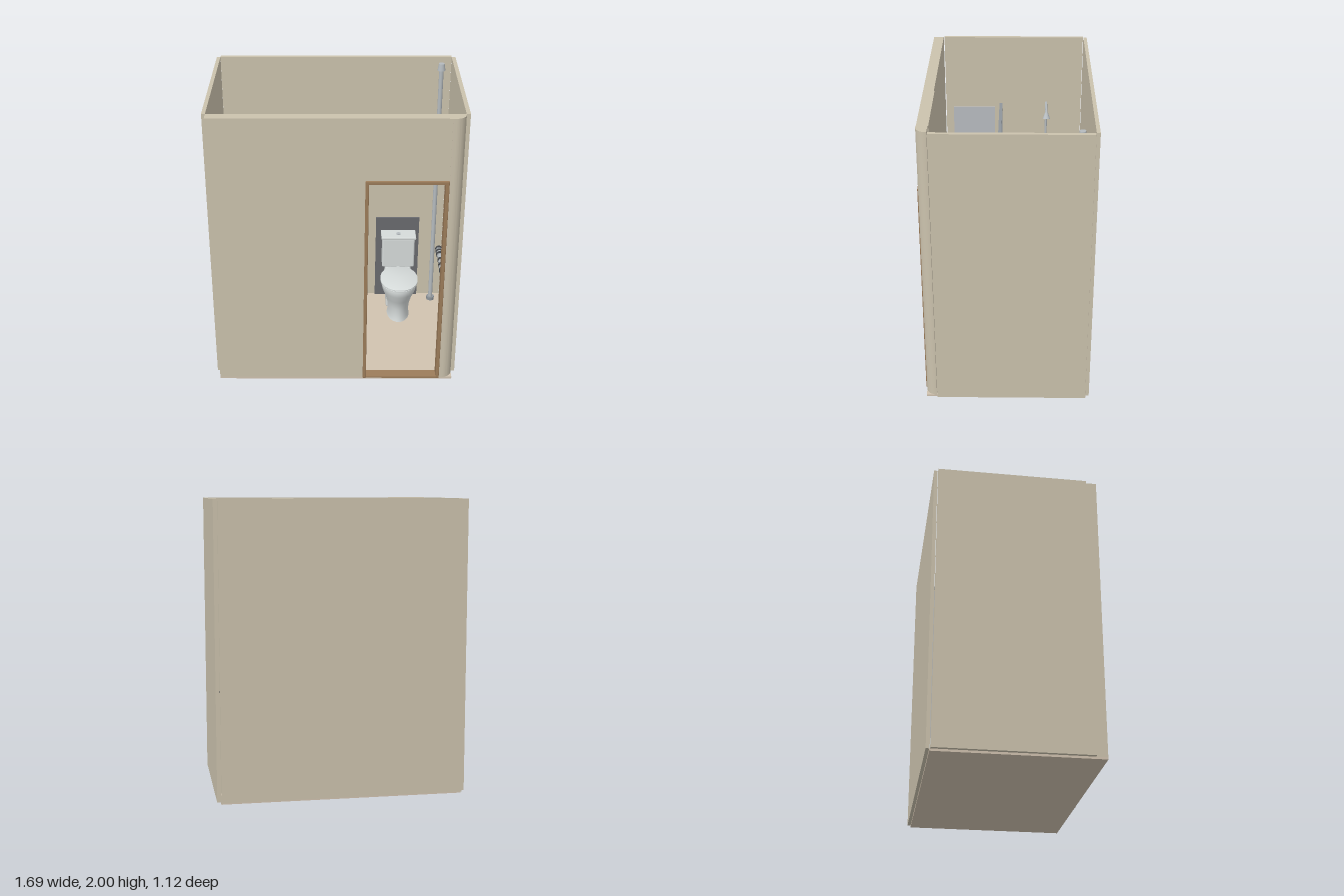
import * as THREE from 'three';
import { toCreasedNormals } from 'three/addons/utils/BufferGeometryUtils.js';
import { RoundedBoxGeometry } from 'three/addons/geometries/RoundedBoxGeometry.js';

const paint = (name, color) => {
  const m = new THREE.MeshStandardMaterial({ color });
  m.name = name;
  return m;
};

export function createModel() {
  const wallPaint = paint('warm beige wall', 0xcbc2ad);
  const floorTile = paint('floor tile', 0xd0c2af);
  const wood = paint('brown wood', 0x9c7c5a);
  const ceramic = paint('white ceramic', 0xd6dbda);
  const screenGrey = paint('screen grey', 0xb9bcc1);
  const frameGrey = paint('frame grey', 0x8e959b);
  const darkGrey = paint('dark grey panel', 0x696a6e);
  const chrome = paint('chrome', 0xb4babe);
  const dark = paint('dark trim', 0x45484c);

  const root = new THREE.Group();
  root.name = 'bathroom';
  const group = (name) => {
    const g = new THREE.Group();
    g.name = name;
    root.add(g);
    return g;
  };
  const add = (parent, name, geo, mat) => {
    const m = new THREE.Mesh(geo, mat);
    m.name = name;
    parent.add(m);
    return m;
  };
  // box given by its limits on each axis
  const box = (parent, name, mat, x0, x1, y0, y1, z0, z1, r = 0) => {
    const s = [x1 - x0, y1 - y0, z1 - z0];
    const geo = r ? new RoundedBoxGeometry(...s, 2, r) : new THREE.BoxGeometry(...s);
    const m = add(parent, name, geo, mat);
    m.position.set((x0 + x1) / 2, (y0 + y1) / 2, (z0 + z1) / 2);
    return m;
  };
  // round bar between two points
  const bar = (parent, name, mat, a, b, r0, r1 = r0) => {
    const p = new THREE.Vector3(...a), q = new THREE.Vector3(...b);
    const d = q.clone().sub(p);
    const m = add(parent, name, new THREE.CylinderGeometry(r1, r0, d.length(), 20), mat);
    m.position.copy(p).add(q).multiplyScalar(0.5);
    m.quaternion.setFromUnitVectors(new THREE.Vector3(0, 1, 0), d.normalize());
    return m;
  };
  // stacked superellipse sections: [y, centre x, centre z, radius x, radius z]
  const loft = (parent, name, mat, sections, power = 2, n = 40) => {
    const pos = [], idx = [];
    for (const [y, cx, cz, rx, rz] of sections) {
      for (let j = 0; j < n; j++) {
        const a = (j / n) * Math.PI * 2, c = Math.cos(a), s = Math.sin(a);
        pos.push(cx + rx * Math.sign(c) * Math.abs(c) ** (2 / power), y,
          cz + rz * Math.sign(s) * Math.abs(s) ** (2 / power));
      }
    }
    for (let i = 0; i < sections.length - 1; i++) {
      for (let j = 0; j < n; j++) {
        const a = i * n + j, b = i * n + (j + 1) % n;
        idx.push(a, a + n, b + n, a, b + n, b);
      }
    }
    const geo = new THREE.BufferGeometry();
    geo.setAttribute('position', new THREE.Float32BufferAttribute(pos, 3));
    geo.setIndex(idx);
    return add(parent, name, toCreasedNormals(geo, 0.8), mat);
  };
  // rounded rectangle path on the ground, z pointing down the sheet
  const roundedRect = (path, x0, x1, z0, z1, r) => {
    const c = [[x1 - r, -z0 - r, 0], [x0 + r, -z0 - r, 1], [x0 + r, -z1 + r, 2], [x1 - r, -z1 + r, 3]];
    for (const [x, y, k] of c) path.absarc(x, y, r, k * Math.PI / 2, (k + 1) * Math.PI / 2, false);
    path.closePath();
    return path;
  };
  const slab = (parent, name, mat, shape, y0, h) => {
    const geo = new THREE.ExtrudeGeometry(shape, { depth: h, bevelEnabled: false, curveSegments: 12 });
    geo.rotateX(-Math.PI / 2);
    const m = add(parent, name, toCreasedNormals(geo, 0.6), mat);
    m.position.y = y0;
    return m;
  };

  // floor and walls
  const shell = group('roomShell');
  box(shell, 'floor', floorTile, -0.82, 0.815, 0, 0.015, -0.54, 0.55);
  box(shell, 'rightSideWall', wallPaint, -0.845, -0.82, 0.015, 2, -0.535, 0.475);
  box(shell, 'leftSideWall', wallPaint, 0.815, 0.842, 0.015, 2, -0.535, 0.475);
  box(shell, 'backWall', wallPaint, -0.82, 0.815, 0.015, 2, -0.562, -0.538);
  box(shell, 'frontWall', wallPaint, -0.82, 0.19, 0.015, 2, 0.48, 0.55);
  box(shell, 'overDoorWall', wallPaint, 0.19, 0.725, 1.565, 2, 0.475, 0.55);

  // rounded corner post beside the door
  const post = new THREE.Shape();
  post.moveTo(0.725, -0.48);
  post.lineTo(0.725, -0.552);
  post.lineTo(0.745, -0.552);
  post.absellipse(0.745, -0.482, 0.07, 0.07, -Math.PI / 2, 0, false);
  post.lineTo(0.815, -0.48);
  slab(shell, 'cornerPost', wallPaint, post, 0.015, 1.985);

  // door frame
  const door = group('doorFrame');
  for (const [x0, x1] of [[0.187, 0.21], [0.702, 0.725]])
    box(door, 'jamb', wood, x0, x1, 0.01, 1.565, 0.474, 0.56, 0.004);
  box(door, 'doorHead', wood, 0.187, 0.725, 1.543, 1.567, 0.474, 0.56, 0.004);
  box(door, 'threshold', wood, 0.2, 0.71, 0.01, 0.02, 0.478, 0.556);

  // shower tray with a sunken basin
  const shower = group('shower');
  const rim = roundedRect(new THREE.Shape(), -0.818, -0.15, -0.536, 0.06, 0.015);
  rim.holes.push(roundedRect(new THREE.Path(), -0.775, -0.19, -0.49, 0.04, 0.05));
  slab(shower, 'trayRim', ceramic, rim, 0.015, 0.07);
  box(shower, 'trayBase', ceramic, -0.8, -0.17, 0.015, 0.045, -0.52, 0.05);
  box(shower, 'drain', dark, -0.703, -0.668, 0.045, 0.052, -0.415, -0.393);

  // fixed screens with their frames
  box(shower, 'sideScreen', screenGrey, -0.15, -0.142, 0.1, 1.46, -0.53, 0.06);
  box(shower, 'frontScreen', screenGrey, -0.81, -0.15, 0.1, 1.46, 0.06, 0.068);
  for (const [y0, y1] of [[0.075, 0.1], [1.46, 1.48]]) {
    box(shower, 'sideRail', frameGrey, -0.157, -0.135, y0, y1, -0.537, 0.075);
    box(shower, 'frontRail', frameGrey, -0.818, -0.157, y0, y1, 0.053, 0.075);
  }
  box(shower, 'wallStileBack', frameGrey, -0.157, -0.135, 0.1, 1.46, -0.537, -0.515);
  box(shower, 'cornerStile', frameGrey, -0.157, -0.135, 0.1, 1.46, 0.053, 0.075);
  box(shower, 'wallStileSide', frameGrey, -0.818, -0.796, 0.1, 1.46, 0.053, 0.075);

  // shower mixer and head
  box(shower, 'mixer', chrome, -0.818, -0.765, 0.82, 0.88, -0.34, -0.21, 0.012);
  bar(shower, 'riser', chrome, [-0.79, 0.87, -0.275], [-0.79, 1.5, -0.275], 0.008);
  bar(shower, 'showerArm', chrome, [-0.79, 1.5, -0.275], [-0.66, 1.47, -0.275], 0.008);
  bar(shower, 'showerHead', chrome, [-0.645, 1.43, -0.275], [-0.665, 1.475, -0.275], 0.028, 0.01);

  // washbasin on a pedestal
  const sink = group('washbasin');
  loft(sink, 'basin', ceramic, [
    [0.5, -0.68, 0.27, 0.001, 0.001], [0.5, -0.68, 0.27, 0.07, 0.08], [0.56, -0.67, 0.27, 0.12, 0.14],
    [0.63, -0.665, 0.27, 0.148, 0.168], [0.655, -0.665, 0.27, 0.152, 0.172], [0.665, -0.665, 0.27, 0.145, 0.165],
    [0.662, -0.642, 0.27, 0.1, 0.132], [0.62, -0.642, 0.27, 0.09, 0.118],
    [0.565, -0.642, 0.27, 0.06, 0.08], [0.55, -0.642, 0.27, 0.001, 0.001]], 2.7);
  loft(sink, 'pedestal', ceramic, [[0.015, -0.72, 0.27, 0.085, 0.09], [0.08, -0.72, 0.27, 0.065, 0.07],
    [0.35, -0.72, 0.27, 0.055, 0.06], [0.53, -0.7, 0.27, 0.085, 0.1]], 2.4);
  box(sink, 'backLedge', ceramic, -0.818, -0.757, 0.58, 0.69, 0.14, 0.395, 0.01);
  bar(sink, 'tapBody', chrome, [-0.765, 0.68, 0.27], [-0.765, 0.74, 0.27], 0.011);
  bar(sink, 'tapSpout', chrome, [-0.77, 0.735, 0.27], [-0.69, 0.715, 0.27], 0.008);
  bar(sink, 'basinDrain', chrome, [-0.642, 0.548, 0.27], [-0.642, 0.555, 0.27], 0.018);
  box(sink, 'mirror', screenGrey, -0.82, -0.812, 0.95, 1.45, 0.11, 0.42);

  // toilet in front of its backing panel
  const toilet = group('toilet');
  const tx = 0.475;
  box(toilet, 'backingPanel', darkGrey, 0.305, 0.635, 0.015, 0.705, -0.538, -0.522);
  box(toilet, 'tank', ceramic, tx - 0.123, tx + 0.123, 0.34, 0.59, -0.52, -0.4, 0.012);
  box(toilet, 'tankLid', ceramic, tx - 0.132, tx + 0.132, 0.585, 0.605, -0.522, -0.392, 0.006);
  bar(toilet, 'flushButton', chrome, [tx, 0.6, -0.455], [tx, 0.611, -0.455], 0.016);
  loft(toilet, 'bowl', ceramic, [
    [0.015, tx, -0.27, 0.085, 0.14], [0.04, tx, -0.27, 0.078, 0.135], [0.12, tx, -0.27, 0.082, 0.13],
    [0.2, tx, -0.255, 0.1, 0.145], [0.27, tx, -0.235, 0.125, 0.163], [0.31, tx, -0.23, 0.133, 0.168],
    [0.325, tx, -0.23, 0.131, 0.166], [0.325, tx, -0.23, 0.001, 0.001]]);
  for (const [name, y, r] of [['seat', 0.324, 0.138], ['seatLid', 0.338, 0.141]])
    loft(toilet, name, ceramic, [[y, tx, -0.23, 0.001, 0.001], [y, tx, -0.23, r, r + 0.033],
      [y + 0.009, tx, -0.23, r, r + 0.033], [y + 0.013, tx, -0.23, r - 0.008, r + 0.025],
      [y + 0.013, tx, -0.23, 0.001, 0.001]], 2.15);
  box(toilet, 'bowlBack', ceramic, tx - 0.09, tx + 0.09, 0.015, 0.14, -0.52, -0.33, 0.02);
  box(toilet, 'tankSupport', ceramic, tx - 0.1, tx + 0.1, 0.13, 0.345, -0.52, -0.36, 0.02);

  // standing pipe in the back corner
  const pipe = group('cornerPipe');
  bar(pipe, 'pipe', chrome, [0.74, 0.015, -0.46], [0.74, 1.96, -0.46], 0.016);
  bar(pipe, 'pipeFlange', frameGrey, [0.74, 0.015, -0.46], [0.74, 0.04, -0.46], 0.03);
  bar(pipe, 'pipeCap', chrome, [0.74, 1.93, -0.46], [0.74, 1.98, -0.46], 0.028, 0.02);

  // rail on the side wall with a roll holder
  const rail = group('wallRail');
  const ry = 0.65, rx = 0.755;
  bar(rail, 'railBar', chrome, [rx, ry, -0.17], [rx, ry, 0.22], 0.013);
  for (const z of [-0.16, 0.212]) {
    bar(rail, 'railBracket', chrome, [rx, ry, z], [0.816, ry, z], 0.006);
    bar(rail, 'bracketPlate', chrome, [0.808, ry, z], [0.816, ry, z], 0.018);
  }
  for (const z of [-0.15, -0.11, -0.07])
    bar(rail, 'railRing', dark, [rx, ry, z - 0.008], [rx, ry, z + 0.008], 0.026);
  bar(rail, 'backGrip', chrome, [rx, ry, -0.15], [rx, ry, -0.06], 0.021);
  bar(rail, 'frontGrip', chrome, [rx, ry, -0.04], [rx, ry, 0.18], 0.019);
  for (const z of [0.01, 0.08, 0.15])
    bar(rail, 'gripBand', dark, [rx, ry, z - 0.012], [rx, ry, z + 0.012], 0.023);

  return root;
}
